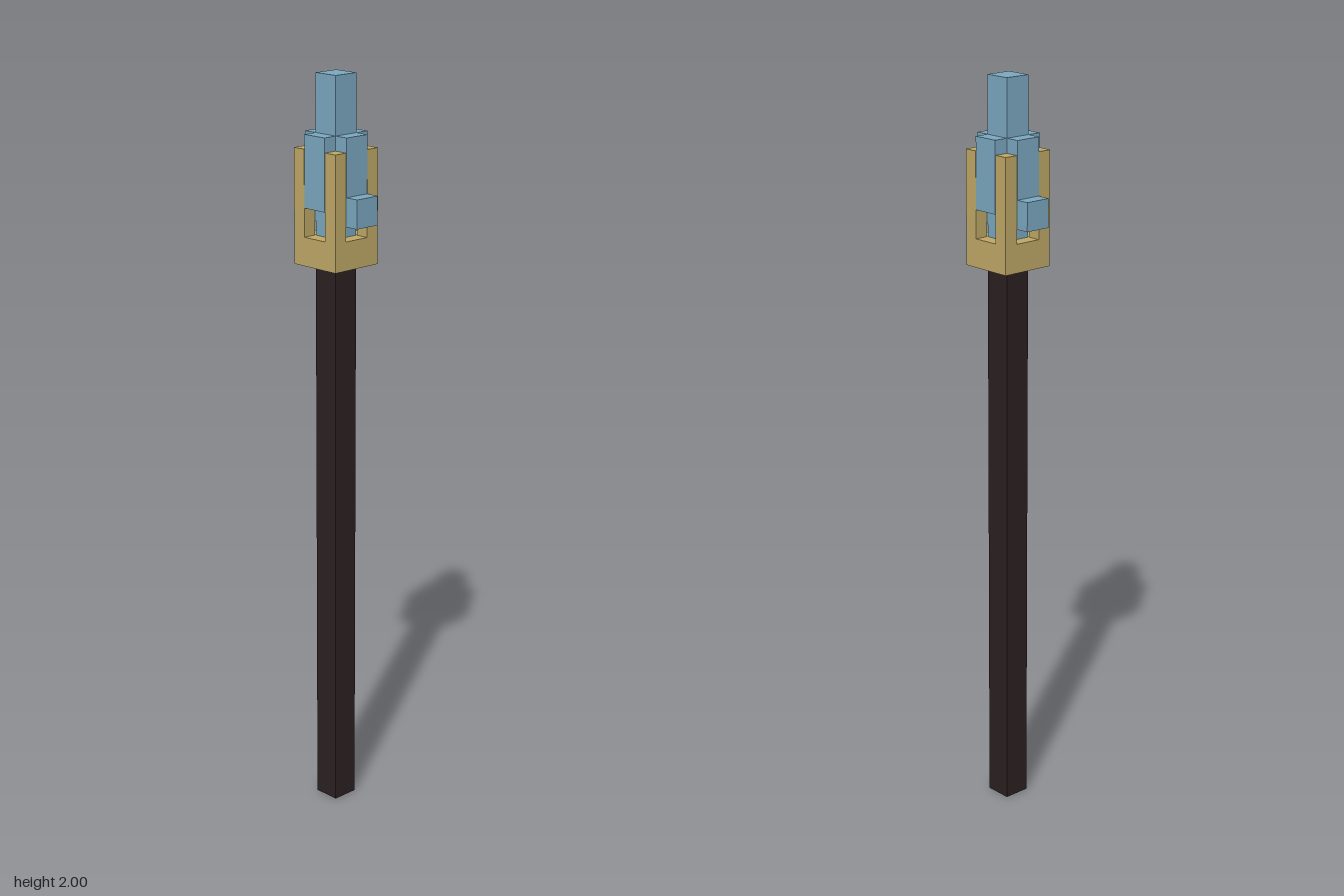
import * as THREE from 'three';

const U = 2 / 53; // one block unit; the model is 53 units tall

function material(name, color) {
  const m = new THREE.MeshStandardMaterial({ color });
  m.name = name;
  return m;
}

export function createModel() {
  const wood = material('dark wood', 0x2b2022);
  const gold = material('gold', 0xbfa866);
  const crystal = material('blue crystal', 0x7ba8c0);
  const model = new THREE.Group();
  model.name = 'staff';

  // Box from minimum and maximum corners, in block units
  function box(parent, name, mat, [x0, y0, z0], [x1, y1, z1]) {
    const mesh = new THREE.Mesh(
      new THREE.BoxGeometry((x1 - x0) * U, (y1 - y0) * U, (z1 - z0) * U), mat);
    mesh.position.set((x0 + x1) / 2 * U, (y0 + y1) / 2 * U, (z0 + z1) / 2 * U);
    mesh.name = name;
    parent.add(mesh);
  }

  const h = 0.97; // half width of the slim parts

  // Shaft and the tall central crystal
  box(model, 'shaft', wood, [-h, 0, -h], [h, 40, h]);
  box(model, 'crystalCore', crystal, [-h, 42, -h], [h, 53, h]);

  // Gold holder: solid base with four corner posts
  box(model, 'holderBase', gold, [-2, 40, -2], [2, 42, 2]);
  for (const x of [-1.5, 1.5]) {
    for (const z of [-1.5, 1.5]) {
      box(model, 'holderPost', gold,
        [x - 0.5, 42, z - 0.5], [x + 0.5, 48, z + 0.5]);
    }
  }

  // Crystal fins between the posts, open below; side fins carry a stud
  for (let i = 0; i < 4; i++) {
    const side = new THREE.Group();
    side.name = 'crystalSide';
    side.rotation.y = i * Math.PI / 2;
    box(side, 'crystalFin', crystal, [-h, 44, h], [h, 49, 2.01]);
    if (i % 2 === 1) box(side, 'crystalStud', crystal, [-h, 43, h], [h, 45, 3]);
    model.add(side);
  }

  return model;
}
